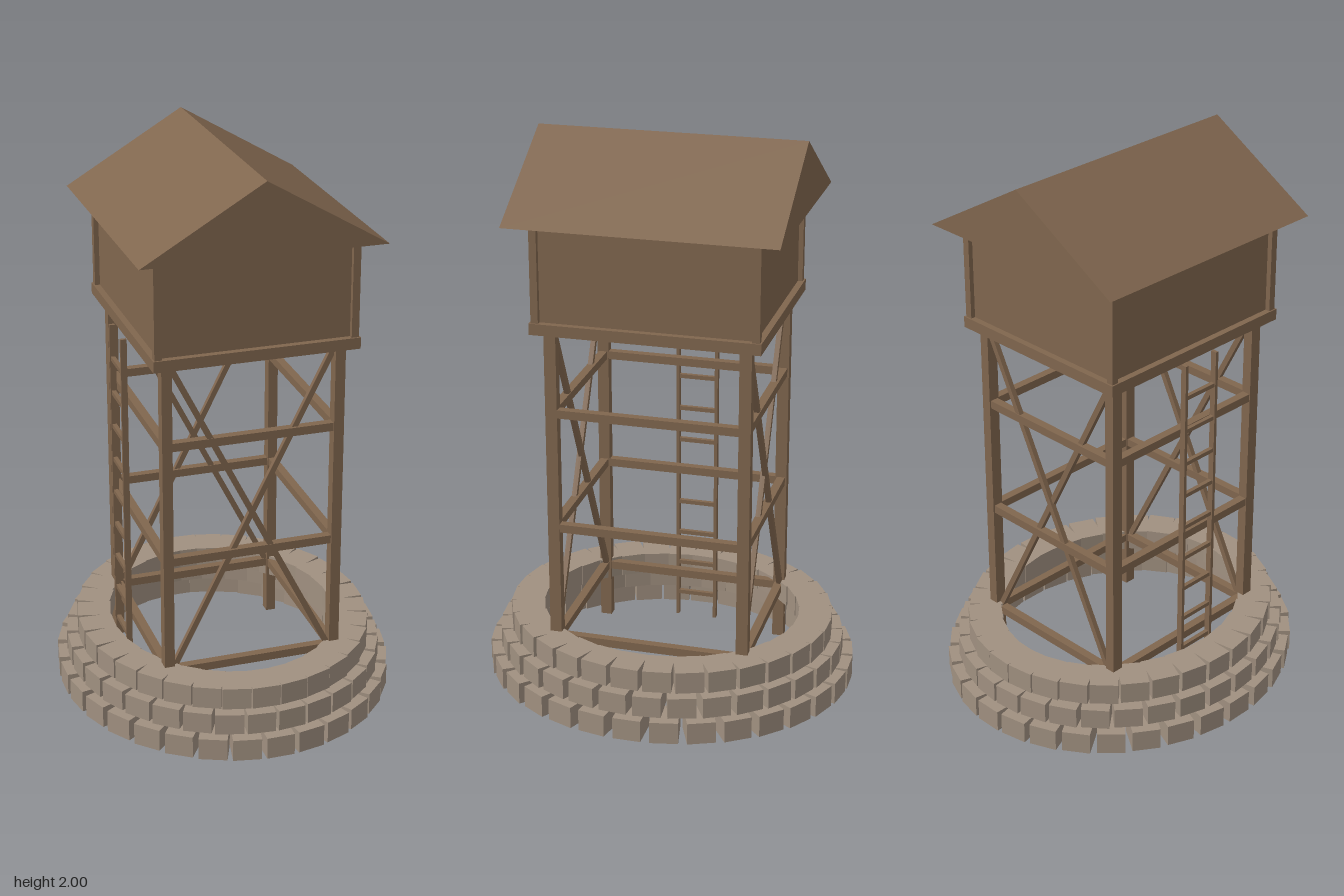
import * as THREE from 'three';

const wood = new THREE.MeshStandardMaterial({ color: 0x80664e, flatShading: true });
const stone = new THREE.MeshStandardMaterial({ color: 0xa09080, flatShading: true });

function box(parent, name, w, h, d, x, y, z, material = wood) {
  const mesh = new THREE.Mesh(new THREE.BoxGeometry(w, h, d), material);
  mesh.name = name;
  mesh.position.set(x, y, z);
  parent.add(mesh);
  return mesh;
}

function group(parent, name) {
  const g = new THREE.Group();
  g.name = name;
  parent.add(g);
  return g;
}

// Oval wall of three stepped courses of separate blocks
function addStoneBase(root) {
  const base = group(root, 'stoneBase');
  const count = 32, depth = 0.12;
  const courses = [
    { rx: 0.60, rz: 0.67, y0: 0, y1: 0.08, shift: 0 },
    { rx: 0.565, rz: 0.63, y0: 0.08, y1: 0.156, shift: 0.5 },
    { rx: 0.525, rz: 0.59, y0: 0.156, y1: 0.235, shift: 0.25 },
  ];
  for (const c of courses) {
    for (let i = 0; i < count; i++) {
      const a = ((i + c.shift) / count) * Math.PI * 2;
      const block = box(base, 'stoneBlock', depth, c.y1 - c.y0, 0.1,
        Math.cos(a) * (c.rx - depth / 2), (c.y0 + c.y1) / 2,
        Math.sin(a) * (c.rz - depth / 2), stone);
      block.rotation.y = -a;
    }
  }
}

// Four legs, horizontal rails and crossed braces
function addTower(root) {
  const tower = group(root, 'tower');
  const lx = 0.305, lz = 0.34, top = 1.365;
  for (const sx of [-1, 1]) {
    for (const sz of [-1, 1]) {
      box(tower, 'leg', 0.036, top, 0.042, sx * lx, top / 2, sz * lz);
    }
  }
  for (const y of [0.21, 0.64, 1.07]) {
    for (const s of [-1, 1]) {
      box(tower, 'crossRail', 2 * lx, 0.03, 0.03, 0, y, s * lz);
      box(tower, 'sideRail', 0.03, 0.03, 2 * lz, s * lx, y, 0);
    }
  }
  for (const s of [-1, 1]) {
    box(tower, 'topCrossRail', 2 * lx, 0.015, 0.03, 0, 1.358, s * lz);
    box(tower, 'topSideRail', 0.03, 0.015, 2 * lz, s * lx, 1.358, 0);
  }
  const run = 0.58, rise = 1.15;
  for (const sz of [-1, 1]) {
    for (const dir of [-1, 1]) {
      const brace = box(tower, 'diagonalBrace', 0.02, Math.hypot(run, rise), 0.018,
        0, 0.785, sz * lz + dir * 0.004);
      brace.rotation.z = dir * Math.atan2(run, rise);
    }
  }
}

// Ladder on the right side
function addLadder(root) {
  const ladder = group(root, 'ladder');
  for (const s of [-1, 1]) {
    box(ladder, 'ladderRail', 0.022, 1.365, 0.012, -0.373, 0.6825, s * 0.073);
  }
  for (let i = 0; i < 10; i++) {
    box(ladder, 'rung', 0.015, 0.015, 0.14, -0.373, 0.093 + i * 0.1275, 0);
  }
}

// Cabin: floor, rim beams, corner posts and plain walls
function addCabin(root) {
  const cabin = group(root, 'cabin');
  const bottom = 1.365, eave = 1.75, mid = (bottom + eave) / 2;
  box(cabin, 'floor', 0.68, 0.02, 0.76, 0, 1.393, 0);
  box(cabin, 'walls', 0.674, eave - 1.385, 0.754, 0, (eave + 1.385) / 2, 0);
  for (const s of [-1, 1]) {
    box(cabin, 'endRim', 0.72, 0.04, 0.04, 0, 1.385, s * 0.38);
    box(cabin, 'sideRim', 0.04, 0.04, 0.72, s * 0.34, 1.385, 0);
    for (const t of [-1, 1]) {
      box(cabin, 'cornerPost', 0.026, eave - bottom, 0.026, s * 0.342, mid, t * 0.381);
    }
  }
}

// Solid gabled roof, ridge running front to back
function addRoof(root) {
  const gable = new THREE.Shape([
    new THREE.Vector2(-0.423, 1.75),
    new THREE.Vector2(0.423, 1.75),
    new THREE.Vector2(0, 2),
  ]);
  const geometry = new THREE.ExtrudeGeometry(gable, { depth: 0.94, bevelEnabled: false });
  geometry.translate(0, 0, -0.47);
  const roof = new THREE.Mesh(geometry, wood);
  roof.name = 'gableRoof';
  root.add(roof);
}

export function createModel() {
  const root = new THREE.Group();
  root.name = 'watchtower';
  addStoneBase(root);
  addTower(root);
  addLadder(root);
  addCabin(root);
  addRoof(root);
  return root;
}
